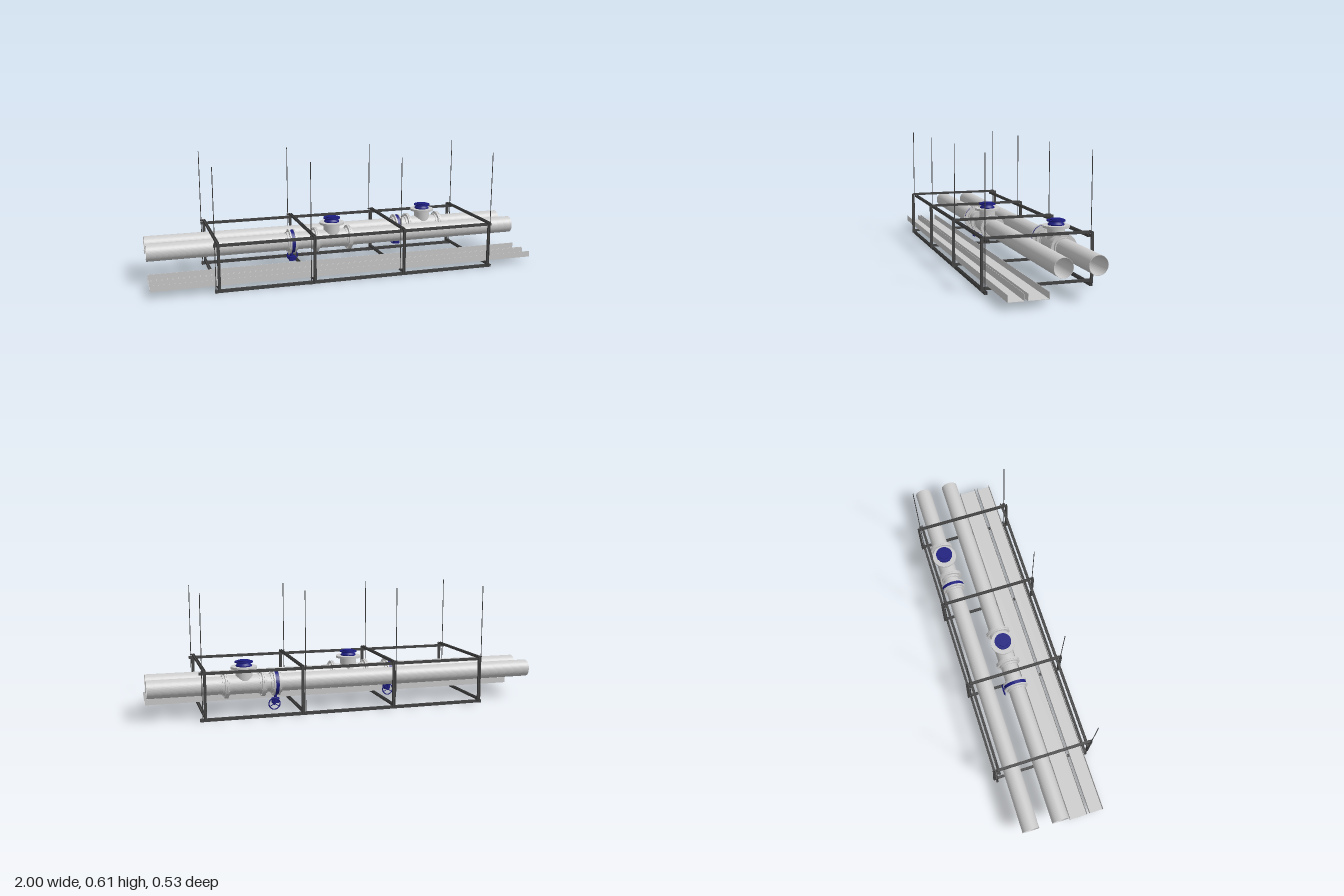
import * as THREE from 'three';

const mat = (color) => new THREE.MeshStandardMaterial({ color, side: THREE.DoubleSide });
const grey = mat(0xcccccc), steel = mat(0x444444), blue = mat(0x1c1c80);

function add(parent, name, geometry, material, x = 0, y = 0, z = 0) {
  const m = new THREE.Mesh(geometry, material);
  m.name = name;
  m.position.set(x, y, z);
  parent.add(m);
  return m;
}
const cyl = (r, h, top = r, n = 40) => new THREE.CylinderGeometry(top, r, h, n);
const alongX = (g) => g.rotateZ(-Math.PI / 2);
const alongZ = (g) => g.rotateX(Math.PI / 2);

// hollow ring around the x axis
function ring(outer, inner, length) {
  const s = new THREE.Shape().absarc(0, 0, outer, 0, Math.PI * 2);
  s.holes.push(new THREE.Path().absarc(0, 0, inner, 0, Math.PI * 2, true));
  return new THREE.ExtrudeGeometry(s, { depth: length, bevelEnabled: false, curveSegments: 24 })
    .translate(0, 0, -length / 2).rotateY(Math.PI / 2);
}

// lipped strut channel along x, open side up
function channel(length, w, h) {
  const t = 0.0018, a = w / 2, lip = a * 0.5;
  const pts = [[-a, 0], [a, 0], [a, h], [lip, h], [lip, h - t], [a - t, h - t], [a - t, t],
    [t - a, t], [t - a, h - t], [-lip, h - t], [-lip, h], [-a, h]];
  const s = new THREE.Shape(pts.map((p) => new THREE.Vector2(...p)));
  return new THREE.ExtrudeGeometry(s, { depth: length, bevelEnabled: false })
    .translate(0, 0, -length / 2).rotateY(Math.PI / 2);
}

const PIPE_R = 0.044, PIPE_Y = 0.156;

// two bolted flanges with short collars
function flangePair(parent, x, gap) {
  const g = new THREE.Group();
  g.name = 'flangePair';
  g.position.x = x;
  parent.add(g);
  for (const s of [-1, 1]) {
    add(g, 'flange', ring(0.064, 0.0425, 0.008), grey, s * (gap / 2 + 0.004));
    add(g, 'flangeCollar', ring(0.05, 0.0425, 0.012), grey, s * (gap / 2 + 0.013));
  }
  for (let i = 0; i < 8; i++) {
    const a = (i + 0.5) * Math.PI / 4;
    add(g, 'bolt', alongX(cyl(0.003, gap + 0.022, 0.003, 6)), grey,
      0, Math.cos(a) * 0.057, Math.sin(a) * 0.057);
  }
}

// butterfly valve with gearbox and handwheel
function valve(parent, x) {
  const g = new THREE.Group();
  g.name = 'valve';
  g.position.x = x;
  parent.add(g);
  flangePair(g, 0, 0.018);
  add(g, 'valveBody', ring(0.06, 0.042, 0.018), blue);
  add(g, 'valveDisc', alongX(cyl(0.042, 0.004)), grey);
  add(g, 'valveStem', cyl(0.008, 0.026, 0.008, 16), blue, 0, -0.07, 0);
  add(g, 'stemPlate', cyl(0.02, 0.005, 0.02, 20), blue, 0, -0.081, 0);
  add(g, 'gearbox', new THREE.BoxGeometry(0.032, 0.018, 0.03), blue, 0.003, -0.093, 0);
  const w = new THREE.Group();
  w.name = 'handwheel';
  w.position.set(0.018, -0.093, -0.059);
  g.add(w);
  add(w, 'wheelShaft', alongZ(cyl(0.0025, 0.055, 0.0025, 12)), blue, 0, 0, 0.027);
  add(w, 'wheelRim', new THREE.TorusGeometry(0.0275, 0.003, 8, 28), blue);
  add(w, 'wheelHub', alongZ(cyl(0.006, 0.006, 0.006, 14)), blue);
  for (let i = 0; i < 3; i++) {
    const a = i * Math.PI * 2 / 3;
    const spoke = add(w, 'wheelSpoke', cyl(0.002, 0.027, 0.002, 8), blue,
      -Math.sin(a) * 0.0135, Math.cos(a) * 0.0135, 0);
    spoke.rotation.z = a;
  }
}

// tee with a vertical branch and a capped relief fitting
function tee(parent, x) {
  const g = new THREE.Group();
  g.name = 'tee';
  g.position.x = x;
  parent.add(g);
  add(g, 'teeBody', ring(0.047, 0.042, 0.17), grey);
  for (const s of [-1, 1]) flangePair(g, s * 0.09, 0.001);
  add(g, 'branch', new THREE.CylinderGeometry(0.042, 0.042, 0.056, 40, 1, true), grey, 0, 0.052, 0);
  add(g, 'branchFlange', cyl(0.064, 0.011), grey, 0, 0.084, 0);
  const profile = [[0, 0.09], [0.039, 0.09], [0.039, 0.095], [0.028, 0.106], [0.028, 0.108],
    [0.044, 0.108], [0.044, 0.114], [0.03, 0.114], [0.03, 0.119], [0, 0.119]];
  const geo = new THREE.LatheGeometry(profile.map((p) => new THREE.Vector2(...p)), 40).toNonIndexed();
  geo.computeVertexNormals();
  add(g, 'branchCap', geo, blue);
}

// U-shaped cable tray
function tray(parent, z0, z1) {
  const t = 0.0015, y0 = 0.031, y1 = 0.062, w = z1 - z0;
  const g = new THREE.Group();
  g.name = 'cableTray';
  parent.add(g);
  add(g, 'trayBase', new THREE.BoxGeometry(2, t, w), grey, 0, y0 + t / 2, (z0 + z1) / 2);
  for (const z of [z0 + t / 2, z1 - t / 2])
    add(g, 'traySide', new THREE.BoxGeometry(2, y1 - y0, t), grey, 0, (y0 + y1) / 2, z);
}

export function createModel() {
  const model = new THREE.Group();
  model.name = 'pipeRack';

  // two pipe runs, each with a valve and a tee
  for (const [z, valveX, teeX] of [[-0.01, -0.262, -0.043], [-0.166, 0.38, 0.535]]) {
    const run = new THREE.Group();
    run.name = 'pipeRun';
    run.position.set(0, PIPE_Y, z);
    model.add(run);
    add(run, 'pipe', ring(PIPE_R, PIPE_R - 0.0015, 2), grey);
    valve(run, valveX);
    tee(run, teeX);
  }

  tray(model, 0.05, 0.143);
  tray(model, 0.157, 0.23);

  // hanging frame: rails, posts, cross beams and rods
  const frame = new THREE.Group();
  frame.name = 'frame';
  model.add(frame);
  for (const s of [-1, 1]) {
    add(frame, 'topRail', channel(1.46, 0.013, 0.013), steel, 0.03, 0.225, s * 0.234);
    add(frame, 'bottomRail', channel(1.46, 0.012, 0.015), steel, 0.03, 0.002, s * 0.246);
  }
  const posts = [-0.68, -0.208, 0.262, 0.736], rods = [-0.695, -0.224, 0.246, 0.748];
  posts.forEach((x, i) => {
    for (const y of [0.018, 0.238])
      add(frame, 'crossBeam', channel(0.503, 0.013, 0.012).rotateY(Math.PI / 2), steel, x, y, 0);
    for (const s of [-1, 1]) {
      add(frame, 'post', channel(0.235, 0.013, 0.011).rotateZ(Math.PI / 2).rotateY(s * Math.PI / 2),
        steel, x, 0.128, s * 0.252);
      add(frame, 'hangerRod', cyl(0.002, 0.612, 0.002, 8), steel, rods[i], 0.306, s * 0.246);
      for (const y of [0.003, 0.245])
        add(frame, 'rodNut', cyl(0.0055, 0.006, 0.0055, 6), steel, rods[i], y, s * 0.246);
    }
  });
  return model;
}
